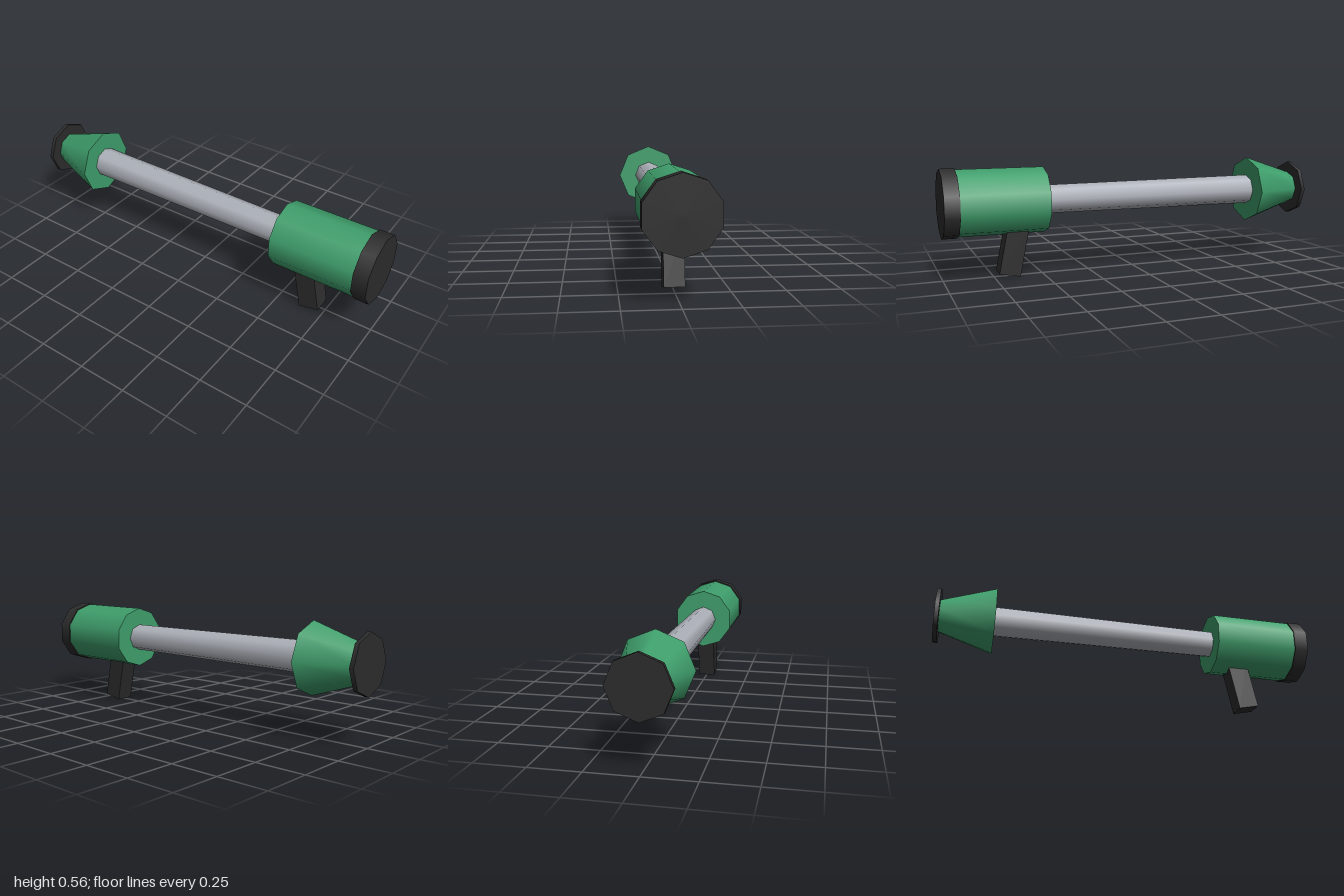
import * as THREE from 'three';

const material = (name, color) => {
  const m = new THREE.MeshStandardMaterial({ color });
  m.name = name;
  return m;
};

export function createModel() {
  const green = material('green', 0x3f9f6c);
  const grey = material('light grey', 0xaeb2ba);
  const dark = material('dark grey', 0x2c2c2c);

  const model = new THREE.Group();
  model.name = 'launcher';
  const axisY = 0.382;

  // Faceted cylinder lying along z, from zBack to zFront
  const tube = (name, mat, zBack, zFront, rBack, rFront, sides) => {
    const geo = new THREE.CylinderGeometry(rFront, rBack, zFront - zBack, sides);
    geo.rotateX(Math.PI / 2);
    const mesh = new THREE.Mesh(geo, mat);
    mesh.name = name;
    mesh.position.set(0, axisY, (zFront + zBack) / 2);
    model.add(mesh);
  };

  tube('frontCap', dark, 0.925, 1, 0.173, 0.173, 10);
  tube('body', green, 0.485, 0.925, 0.167, 0.167, 10);
  tube('barrel', grey, -0.75, 0.55, 0.081, 0.0725, 8);
  tube('rearCone', green, -0.978, -0.7, 0.088, 0.18, 8);
  tube('rearDisc', dark, -1, -0.978, 0.148, 0.148, 8);

  // Tilted grip, its top buried in the body
  const tilt = 0.2, length = 0.26;
  const grip = new THREE.Mesh(new THREE.BoxGeometry(0.096, length, 0.108), dark);
  grip.name = 'grip';
  grip.rotation.x = -tilt;
  grip.position.set(0, 0.0108 + Math.cos(tilt) * length / 2, 0.676 - Math.sin(tilt) * length / 2);
  model.add(grip);

  return model;
}
